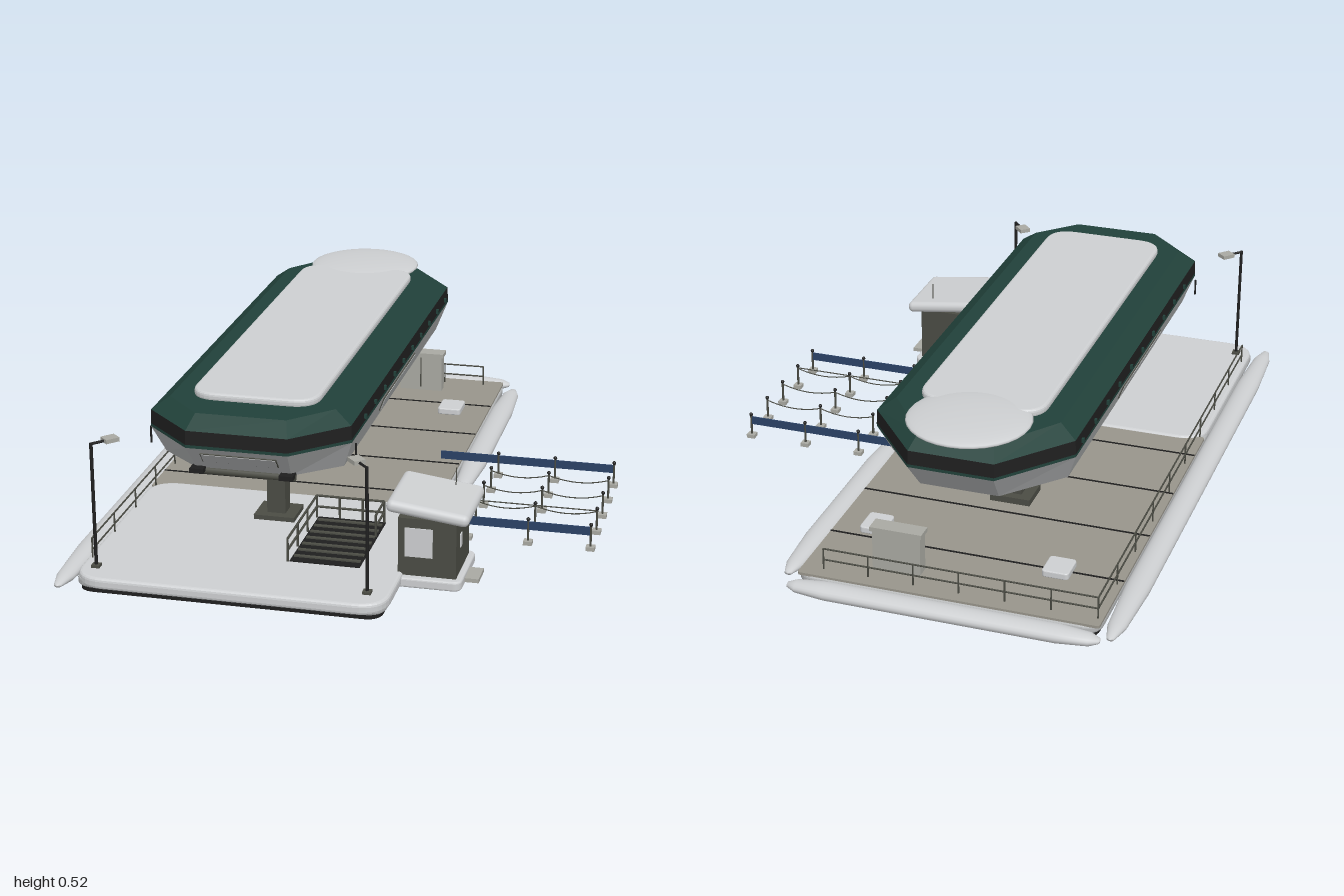
import * as THREE from 'three';
import { RoundedBoxGeometry } from 'three/addons/geometries/RoundedBoxGeometry.js';

const mat = (name, color, opts = {}) => {
  const m = new THREE.MeshStandardMaterial({ color, ...opts });
  m.name = name;
  return m;
};

export function createModel() {
  const white = mat('white', 0xcdcfd1);
  const pale = mat('paleGrey', 0xb4b6b7, { flatShading: true });
  const deckGrey = mat('deckGrey', 0x98958b);
  const green = mat('darkGreen', 0x21413a, { flatShading: true });
  const black = mat('black', 0x1f1f1f, { flatShading: true });
  const steel = mat('steel', 0x4b4c44);
  const blue = mat('blue', 0x2b4266, { side: THREE.DoubleSide });
  const cabinetGrey = mat('cabinetGrey', 0xa9a9a2);

  const model = new THREE.Group();
  model.name = 'elevatedCabinPlatform';
  const add = (name, geo, material, parent = model) => {
    const m = new THREE.Mesh(geo, material);
    m.name = name;
    parent.add(m);
    return m;
  };
  const group = (name) => {
    const g = new THREE.Group();
    g.name = name;
    model.add(g);
    return g;
  };
  // Box given by its limits
  const box = (name, x0, x1, y0, y1, z0, z1, material, parent) => {
    const m = add(name, new THREE.BoxGeometry(x1 - x0, y1 - y0, z1 - z0), material, parent);
    m.position.set((x0 + x1) / 2, (y0 + y1) / 2, (z0 + z1) / 2);
    return m;
  };
  // Round bar between two points
  const rod = (name, a, b, r, material, parent, sides = 6) => {
    const p = new THREE.Vector3(...a), q = new THREE.Vector3(...b), d = q.clone().sub(p);
    const m = add(name, new THREE.CylinderGeometry(r, r, d.length(), sides), material, parent);
    m.position.copy(p).add(q).multiplyScalar(0.5);
    m.quaternion.setFromUnitVectors(new THREE.Vector3(0, 1, 0), d.normalize());
    return m;
  };
  // Horizontal slab with rounded corners and a soft edge
  const slab = (name, x0, x1, z0, z1, y0, y1, r, bevel, material, parent) => {
    const a = x0 + bevel, b = x1 - bevel, c = -z1 + bevel, d = -z0 - bevel;
    const s = new THREE.Shape();
    s.moveTo(a + r, c).lineTo(b - r, c).quadraticCurveTo(b, c, b, c + r);
    s.lineTo(b, d - r).quadraticCurveTo(b, d, b - r, d);
    s.lineTo(a + r, d).quadraticCurveTo(a, d, a, d - r);
    s.lineTo(a, c + r).quadraticCurveTo(a, c, a + r, c);
    const geo = new THREE.ExtrudeGeometry(s, {
      depth: y1 - y0 - 2 * bevel, bevelEnabled: bevel > 0, bevelThickness: bevel,
      bevelSize: bevel, bevelSegments: 3, curveSegments: 8,
    });
    geo.rotateX(-Math.PI / 2).translate(0, y0 + bevel, 0);
    return add(name, geo, material, parent);
  };

  // Floating base: dark underside, rim, rear deck and front deck
  slab('underside', -0.65, 0.225, -0.92, 0.95, 0.03, 0.042, 0.05, 0, black);
  slab('hullRim', -0.66, 0.235, -0.925, 0.955, 0.042, 0.068, 0.05, 0.008, pale);
  slab('rearDeck', -0.66, 0.23, -0.92, 0.26, 0.066, 0.074, 0.01, 0, deckGrey);
  slab('frontDeck', -0.66, 0.24, 0.23, 0.968, 0.046, 0.08, 0.08, 0.01, white);
  for (const z of [-0.67, -0.4, -0.13, 0.13]) box('deckSeam', -0.66, 0.23, 0.073, 0.076, z - 0.003, z + 0.003, black);

  // Inflated bumpers with tapered ends
  const bumper = (name, length, r, tip) => {
    const h = length / 2;
    const pts = [[0, -h], [0.3 * r, -h + 0.02 * tip], [0.72 * r, -h + 0.25 * tip], [r, -h + tip],
      [r, 0], [r, h - tip], [0.72 * r, h - 0.25 * tip], [0.3 * r, h - 0.02 * tip], [0, h]];
    const m = add(name, new THREE.LatheGeometry(pts.map((p) => new THREE.Vector2(...p)), 20), white);
    return m;
  };
  const leftSide = bumper('sideBumper', 1.93, 0.037, 0.28);
  leftSide.rotation.x = Math.PI / 2;
  leftSide.scale.z = 0.62;
  leftSide.position.set(-0.697, 0.053, 0.02);
  const rightSide = bumper('sideBumper', 0.93, 0.037, 0.22);
  rightSide.rotation.x = Math.PI / 2;
  rightSide.scale.z = 0.62;
  rightSide.position.set(0.267, 0.053, -0.44);
  const rear = bumper('rearBumper', 0.92, 0.037, 0.12);
  rear.rotation.set(0, 0, Math.PI / 2);
  rear.scale.x = 0.62;
  rear.position.set(-0.215, 0.053, -0.958);

  // Support columns with foot, collar, head beam and braces
  const cx = -0.213;
  for (const z of [0.4, -0.29]) {
    const g = group('column');
    box('foot', cx - 0.062, cx + 0.062, 0.074, 0.094, z - 0.055, z + 0.055, steel, g);
    box('shaft', cx - 0.028, cx + 0.028, 0.09, 0.35, z - 0.027, z + 0.027, steel, g);
    box('collar', cx - 0.033, cx + 0.033, 0.205, 0.235, z - 0.031, z + 0.031, steel, g);
    box('headBeam', cx - 0.225, cx + 0.225, 0.32, 0.346, z - 0.025, z + 0.025, steel, g);
    for (const s of [-1, 1]) rod('brace', [cx + s * 0.185, 0.325, z], [cx + s * 0.025, 0.212, z], 0.007, steel, g);
  }

  // Cabin: bands lofted between stretched octagons
  const cabin = group('cabin');
  const ring = (dx, dz, y) => {
    const hx = 0.295 - dx, f = 0.823 - dz, b = -0.866 + dz;
    const wf = 0.147 - 0.3 * dx, wb = 0.125 - 0.3 * dx, sf = 0.68 - 0.5 * dz, sb = -0.66 + 0.5 * dz;
    return [[-wf, f], [wf, f], [hx, sf], [hx, sb], [wb, b], [-wb, b], [-hx, sb], [-hx, sf]]
      .map(([x, z]) => [x + cx, y, z]);
  };
  const meshFrom = (name, tris, material) => {
    const geo = new THREE.BufferGeometry();
    geo.setAttribute('position', new THREE.Float32BufferAttribute(tris.flat(), 3));
    geo.computeVertexNormals();
    return add(name, geo, material, cabin);
  };
  const band = (name, lo, hi, material) => {
    const t = [];
    lo.forEach((a, i) => {
      const j = (i + 1) % lo.length;
      t.push(a, lo[j], hi[j], a, hi[j], hi[i]);
    });
    meshFrom(name, t, material);
  };
  const cap = (name, r, up, material) => {
    const t = [];
    for (let i = 1; i < r.length - 1; i++) t.push(r[0], ...(up ? [r[i], r[i + 1]] : [r[i + 1], r[i]]));
    meshFrom(name, t, material);
  };
  const floor = ring(0.032, 0.073, 0.352), sill = ring(0, 0, 0.438), sillTop = ring(0, 0, 0.447);
  const eave = ring(0.002, 0.002, 0.488), top = ring(0.052, 0.05, 0.525);
  cap('cabinFloor', floor, false, steel);
  band('lowerHull', floor, sill, pale);
  band('greenTrim', sill, sillTop, green);
  band('windowBand', sillTop, eave, black);
  band('roofSlope', eave, top, green);
  cap('roofTop', top, true, green);
  slab('roofPanel', cx - 0.186, cx + 0.186, -0.64, 0.665, 0.52, 0.545, 0.07, 0.009, white, cabin);
  const dome = add('rearDome', new THREE.SphereGeometry(0.178, 32, 16), white, cabin);
  dome.scale.y = 0.12;
  dome.position.set(cx, 0.532, -0.708);

  // Cabin name boards, left blank, with dark outlines
  const board = (w, x, y, z, ry, tilt) => {
    const g = new THREE.Group();
    g.name = 'blankBoard';
    g.position.set(x, y, z);
    g.rotation.set(tilt, ry, 0, 'YXZ');
    cabin.add(g);
    add('boardFrame', new THREE.BoxGeometry(w + 0.006, 0.044, 0.005), steel, g);
    add('boardFace', new THREE.BoxGeometry(w, 0.038, 0.008), pale, g);
  };
  board(0.215, cx, 0.403, 0.794, 0, 0.70);
  for (const s of [-1, 1]) board(0.42, cx + s * 0.283, 0.403, 0.05, s * Math.PI / 2, 0.36);

  // Side fittings along the window band, and ribs below the floor
  for (let i = 0; i < 10; i++) {
    const z = -0.6 + i * 0.125;
    for (const s of [-1, 1]) box('bandFitting', cx + s * 0.297 - 0.004, cx + s * 0.297 + 0.004, 0.455, 0.468, z - 0.005, z + 0.005, green, cabin);
  }
  for (let i = 0; i < 17; i++) {
    const z = 0.75 - i * 0.078;
    const w = z > 0.66 ? 0.15 : 0.21;
    rod('floorRib', [cx - w, 0.346, z], [cx + w, 0.346, z], 0.011, steel, cabin, 8);
  }
  for (const s of [-1, 1]) {
    rod('sideHandle', [cx + s * 0.302, 0.38, 0.66], [cx + s * 0.302, 0.43, 0.66], 0.003, black, cabin);
    box('floodlight', cx + s * 0.13 - 0.02, cx + s * 0.13 + 0.02, 0.348, 0.362, 0.74, 0.785, black, cabin);
  }

  // Railings along the left side and the rear
  const railing = (name, pts, y0, heights, r = 0.0025) => {
    const g = group(name);
    const h = Math.max(...heights);
    pts.forEach(([x, z], i) => {
      rod('post', [x, y0, z], [x, h, z], r, steel, g);
      if (i) for (const y of heights) rod('rail', [pts[i - 1][0], y, pts[i - 1][1]], [x, y, z], r, steel, g);
    });
  };
  const sidePts = [], rearPts = [];
  for (let i = 0; i < 10; i++) sidePts.push([-0.645, 0.83 - i * 0.19]);
  for (let i = 0; i < 7; i++) rearPts.push([-0.645 + i * 0.135, -0.88]);
  railing('sideRailing', sidePts, 0.07, [0.105, 0.14]);
  railing('rearRailing', rearPts, 0.07, [0.105, 0.14]);

  // Stairwell hatch with steps and guard rails
  const stairs = group('stairwell');
  box('hatch', -0.09, 0.115, 0.078, 0.083, 0.4, 0.73, black, stairs);
  for (let i = 0; i < 7; i++) box('step', -0.085, 0.11, 0.08, 0.087, 0.42 + i * 0.045, 0.432 + i * 0.045, steel, stairs);
  railing('stairRailing', [[0.11, 0.4], [0.045, 0.4], [-0.025, 0.4], [-0.095, 0.4], [-0.095, 0.51], [-0.095, 0.62], [-0.095, 0.73]], 0.08, [0.115, 0.15], 0.0035);
  railing('stairRailing', [[0.11, 0.4], [0.11, 0.51]], 0.08, [0.115, 0.15], 0.0035);

  // Lamp posts at the front corners
  for (const s of [-1, 1]) {
    const g = group('lampPost');
    const x = cx + 0.002 + s * 0.39 - (s < 0 ? 0.012 : 0.004);
    rod('pole', [x, 0.08, 0.888], [x, 0.455, 0.888], 0.005, black, g);
    rod('arm', [x, 0.452, 0.888], [x - s * 0.03, 0.452, 0.855], 0.004, black, g);
    const head = add('lampHead', new THREE.BoxGeometry(0.035, 0.012, 0.042), cabinetGrey, g);
    head.position.set(x - s * 0.04, 0.453, 0.842);
    head.rotation.y = s * 0.74;
    box('lampFoot', x - 0.012, x + 0.012, 0.08, 0.088, 0.876, 0.9, steel, g);
  }

  // Ticket kiosk with tilted cushion roof
  const kiosk = group('kiosk');
  slab('kioskBase', 0.2, 0.41, 0.515, 0.75, 0.043, 0.072, 0.02, 0.006, white, kiosk);
  box('kioskWalls', 0.225, 0.392, 0.07, 0.245, 0.537, 0.727, steel, kiosk);
  const roof = add('kioskRoof', new RoundedBoxGeometry(0.238, 0.036, 0.25, 4, 0.017), white, kiosk);
  roof.position.set(0.313, 0.272, 0.632);
  roof.rotation.z = -0.13;
  box('frontWindow', 0.245, 0.325, 0.13, 0.217, 0.724, 0.73, white, kiosk);
  box('sideWindow', 0.388, 0.395, 0.148, 0.187, 0.65, 0.675, white, kiosk);
  box('sideShelf', 0.39, 0.45, 0.05, 0.062, 0.61, 0.69, cabinetGrey, kiosk);
  rod('antenna', [0.355, 0.27, 0.55], [0.355, 0.338, 0.55], 0.0015, steel, kiosk);

  // Rear cabinet and deck vents
  const cabinet = group('cabinet');
  box('cabinetBody', -0.107, 0.037, 0.074, 0.196, -0.826, -0.785, cabinetGrey, cabinet);
  box('cabinetLid', -0.113, 0.043, 0.194, 0.207, -0.832, -0.78, cabinetGrey, cabinet);
  box('doorSeam', -0.037, -0.033, 0.085, 0.19, -0.79, -0.783, steel, cabinet);
  slab('deckVent', 0.07, 0.147, -0.655, -0.56, 0.074, 0.095, 0.008, 0.004, white);
  slab('deckVent', -0.51, -0.43, -0.72, -0.63, 0.074, 0.095, 0.008, 0.004, white);

  // Queue barriers: posts on feet, blue outer panels, sagging ropes inside
  const queue = group('queueBarriers');
  const cols = [0.355, 0.535, 0.72];
  [-0.138, -0.012, 0.112, 0.238, 0.363].forEach((z, row) => {
    const outer = row === 0 || row === 4;
    for (const x of cols) {
      box('postFoot', x - 0.013, x + 0.013, 0.04, 0.052, z - 0.013, z + 0.013, cabinetGrey, queue);
      rod('post', [x, 0.05, z], [x, 0.117, z], 0.0035, steel, queue);
      add('postCap', new THREE.SphereGeometry(0.006, 8, 6), black, queue).position.set(x, 0.119, z);
    }
    if (outer) box('bluePanel', 0.17, 0.722, 0.086, 0.112, z - 0.002, z + 0.002, blue, queue);
    else cols.slice(1).forEach((x, i) => {
      const a = cols[i];
      const curve = new THREE.QuadraticBezierCurve3(new THREE.Vector3(a, 0.11, z),
        new THREE.Vector3((a + x) / 2, 0.08, z), new THREE.Vector3(x, 0.11, z));
      add('rope', new THREE.TubeGeometry(curve, 8, 0.0018, 5), steel, queue);
    });
  });
  rod('queueRail', [0.2, 0.112, 0.238], [0.72, 0.112, 0.238], 0.0018, steel, queue);

  return model;
}
